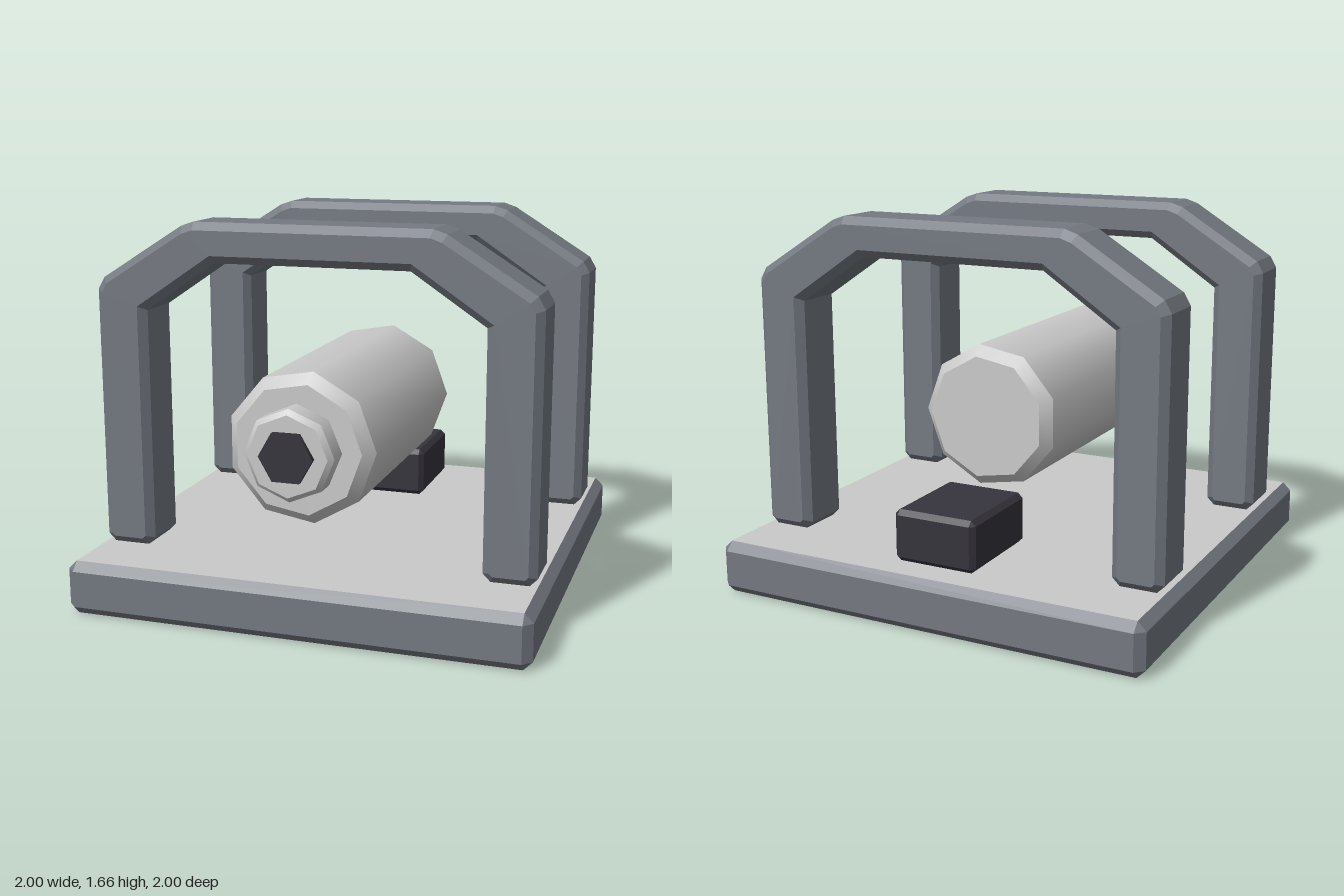
import * as THREE from 'three';
import { mergeGeometries } from 'three/addons/utils/BufferGeometryUtils.js';
import { ConvexGeometry } from 'three/addons/geometries/ConvexGeometry.js';

function material(name, color) {
  const m = new THREE.MeshStandardMaterial({ color });
  m.name = name;
  return m;
}

// Box with every edge and corner chamfered by c
function chamferBox(w, h, d, c) {
  const points = [];
  for (const x of [-1, 1]) for (const y of [-1, 1]) for (const z of [-1, 1]) {
    const X = w / 2, Y = h / 2, Z = d / 2;
    points.push(
      new THREE.Vector3(x * X, y * (Y - c), z * (Z - c)),
      new THREE.Vector3(x * (X - c), y * Y, z * (Z - c)),
      new THREE.Vector3(x * (X - c), y * (Y - c), z * Z));
  }
  return new ConvexGeometry(points);
}

// Solid along z from [z, radius] stations (back to front), hard edges between bands
function turned(stations, sides) {
  const parts = [];
  for (let i = 0; i < stations.length - 1; i++) {
    const [z0, r0] = stations[i], [z1, r1] = stations[i + 1];
    const band = new THREE.CylinderGeometry(r1, r0, z1 - z0, sides, 1, true, Math.PI / 2);
    parts.push(band.rotateX(Math.PI / 2).translate(0, 0, (z0 + z1) / 2));
  }
  const [zb, rb] = stations[0], [zf, rf] = stations[stations.length - 1];
  parts.push(new THREE.CircleGeometry(rf, sides).translate(0, 0, zf));
  parts.push(new THREE.CircleGeometry(rb, sides).rotateX(Math.PI).translate(0, 0, zb));
  return mergeGeometries(parts);
}

// Arched roll-bar outline, mirrored about x = 0, extruded with a chamfer
function archGeometry(depth, bevel) {
  const half = [
    [0.42, 1.487], [0.733, 1.277], [0.733, 0.267], [0.766, 0.234],
    [0.927, 0.234], [0.96, 0.267], [0.96, 1.358], [0.93, 1.41],
    [0.567, 1.637], [0.51, 1.656],
  ];
  const mirrored = half.map(([x, y]) => [-x, y]).reverse();
  const shape = new THREE.Shape([...half, ...mirrored].map(([x, y]) => new THREE.Vector2(x, y)));
  return new THREE.ExtrudeGeometry(shape, {
    depth: depth - 2 * bevel, bevelEnabled: true, bevelSegments: 1,
    bevelSize: bevel, bevelThickness: bevel, bevelOffset: -bevel,
  }).translate(0, 0, bevel - depth / 2);
}

export function createModel() {
  const slate = material('slate', 0x747981);
  const light = material('lightGrey', 0xcacaca);
  const dark = material('darkGrey', 0x36343c);
  const model = new THREE.Group();

  const add = (name, geometry, mat, x = 0, y = 0, z = 0) => {
    const mesh = new THREE.Mesh(geometry, mat);
    mesh.name = name;
    mesh.position.set(x, y, z);
    model.add(mesh);
  };

  // Base slab: slate rim, light top and bottom faces
  const base = chamferBox(2, 0.234, 2, 0.038);
  const normals = base.attributes.normal;
  for (let i = 0; i < normals.count; i += 3) {
    base.addGroup(i, 3, Math.abs(normals.getY(i)) > 0.95 ? 1 : 0);
  }
  add('base', base, [slate, light], 0, 0.117, 0);

  // Two arches
  const arch = archGeometry(0.27, 0.033);
  add('frontArch', arch, slate, 0, 0, 0.573);
  add('backArch', arch, slate, 0, 0, -0.573);

  // Barrel, neck and socket share one axis
  const axisY = 0.77;
  add('barrel', turned([[-0.383, 0.275], [-0.336, 0.322], [0.803, 0.322], [0.85, 0.275]], 9), light, 0, axisY, 0);
  add('neck', turned([[0.82, 0.192], [0.942, 0.192], [0.964, 0.17]], 8), light, 0, axisY, 0);
  add('socket', turned([[0.94, 0.115], [0.986, 0.115]], 6), dark, 0, axisY, 0);

  // Block behind the barrel
  add('rearBlock', chamferBox(0.384, 0.228, 0.462, 0.022), dark, 0, 0.348, -0.617);

  return model;
}
